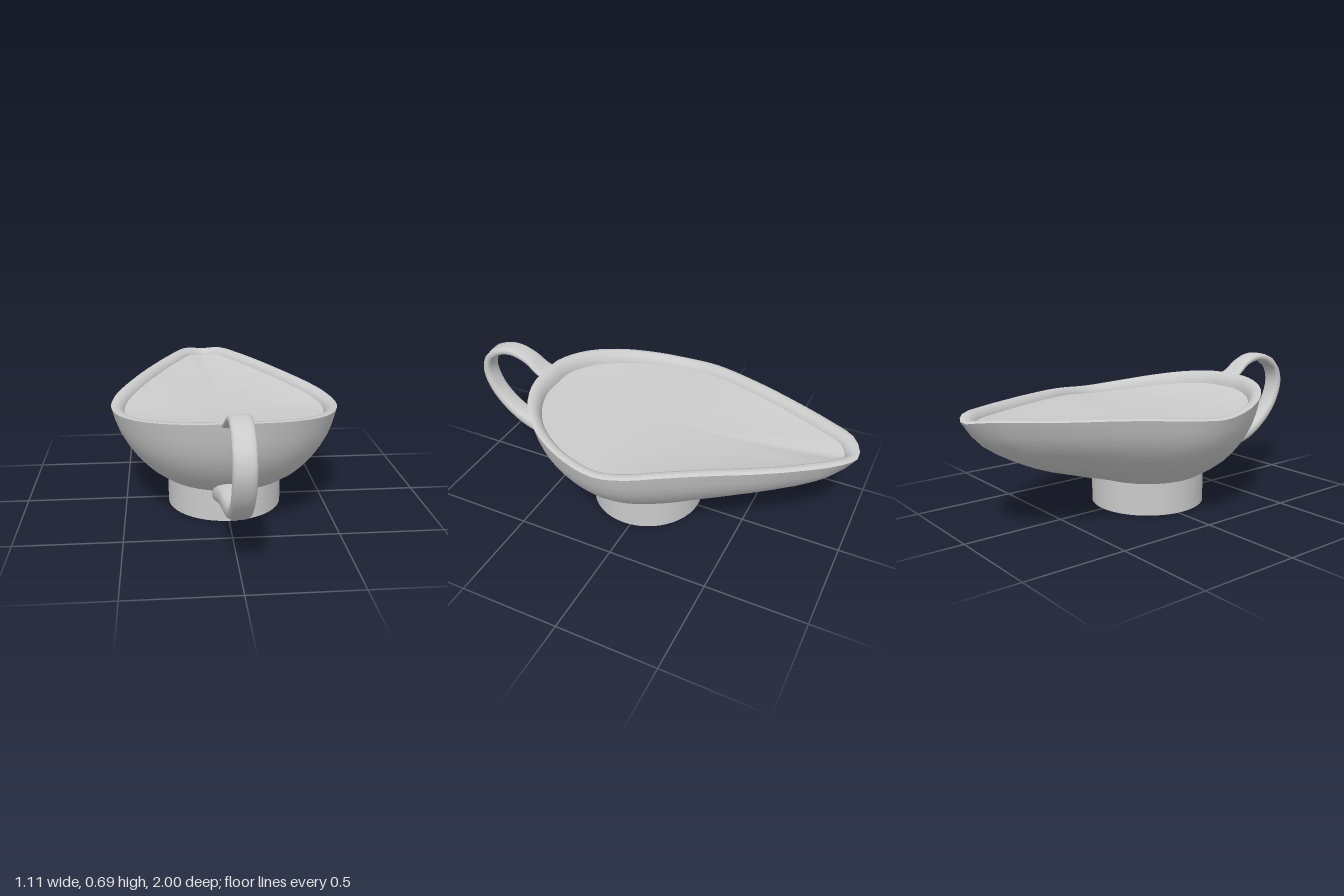
import * as THREE from 'three';

const material = new THREE.MeshStandardMaterial({ color: 0xcccccc, side: THREE.DoubleSide });
const SIDES = 80;
const CENTER = new THREE.Vector3(0, 0, 0.035);
const FOOT_R = 0.285;
const FOOT_H = 0.16;

// Bearing of a point around the foot: 0 towards the handle
const bearing = (p) => Math.atan2(p.x - CENTER.x, p.z - CENTER.z);

// Skin a list of closed rings (equal point counts) with smooth normals
function loft(rings, name) {
  const n = rings[0].length;
  const index = [];
  for (let j = 0; j < rings.length - 1; j++) {
    for (let i = 0; i < n; i++) {
      const a = j * n + i, b = j * n + (i + 1) % n;
      index.push(a, b, a + n, b, b + n, a + n);
    }
  }
  const geometry = new THREE.BufferGeometry().setFromPoints(rings.flat());
  geometry.setIndex(index);
  geometry.computeVertexNormals();
  const mesh = new THREE.Mesh(geometry, material);
  mesh.name = name;
  return mesh;
}

// Teardrop lip: rounded at the handle, drawn out to a pouring spout
function rimPoints() {
  const pts = [
    [0, 0.593, 0.622], [0.14, 0.59, 0.612], [0.3, 0.573, 0.54], [0.43, 0.548, 0.41],
    [0.52, 0.522, 0.23], [0.557, 0.508, 0.035], [0.524, 0.52, -0.116], [0.466, 0.533, -0.24],
    [0.37, 0.545, -0.43], [0.264, 0.553, -0.64], [0.17, 0.56, -0.8], [0.058, 0.565, -0.95],
    [-0.05, 0.55, -1], [-0.16, 0.565, -0.95], [-0.254, 0.56, -0.8], [-0.333, 0.553, -0.64],
    [-0.423, 0.545, -0.43], [-0.513, 0.528, -0.2], [-0.545, 0.518, -0.09], [-0.557, 0.508, 0.035],
    [-0.515, 0.522, 0.23], [-0.42, 0.548, 0.41], [-0.29, 0.573, 0.54], [-0.13, 0.59, 0.614],
  ].map((p) => new THREE.Vector3(...p));
  return new THREE.CatmullRomCurve3(pts, true).getSpacedPoints(SIDES).slice(0, SIDES);
}

// Move a ring inwards in plan and shift its height, with a further shift towards the handle
function inset(ring, distance, dy, handleDy) {
  const n = ring.length;
  return ring.map((p, i) => {
    const t = ring[(i + 1) % n].clone().sub(ring[(i + n - 1) % n]).setY(0).normalize();
    const y = p.y + dy + handleDy * Math.max(0, Math.cos(bearing(p)));
    return new THREE.Vector3(p.x + t.z * distance, y, p.z - t.x * distance);
  });
}

function createBowl() {
  const bowl = new THREE.Group();
  bowl.name = 'bowl';
  const rim = rimPoints();

  // Outer wall: [outward fraction, height fraction] from foot to lip, fuller below the handle
  const wall = [[0, 0], [0.22, 0.12], [0.43, 0.25], [0.56, 0.35], [0.68, 0.46],
    [0.78, 0.57], [0.87, 0.69], [0.94, 0.83], [1, 1]];
  bowl.add(loft(wall.map(([t, h]) => rim.map((p) => {
    const a = bearing(p);
    const height = Math.pow(h, 1 + 0.3 * Math.max(0, Math.cos(a)));
    return new THREE.Vector3(
      THREE.MathUtils.lerp(FOOT_R * Math.sin(a), p.x, t),
      THREE.MathUtils.lerp(FOOT_H, p.y, height),
      THREE.MathUtils.lerp(CENTER.z + FOOT_R * Math.cos(a), p.z, t));
  })), 'outerWall'));

  // Rounded lip with its crest inside the outer edge
  const inner = inset(rim, 0.064, -0.028, -0.035);
  bowl.add(loft([rim, inset(rim, 0.012, 0.006, -0.004), inset(rim, 0.03, 0.008, -0.008),
    inset(rim, 0.048, -0.002, -0.015), inset(rim, 0.06, -0.016, -0.025), inner], 'lip'));

  // Shallow dished inside: [outward fraction, height fraction] from lip to floor
  const floor = 0.475;
  const dish = [[1, 1], [0.96, 0.88], [0.9, 0.73], [0.8, 0.52], [0.66, 0.32],
    [0.5, 0.16], [0.3, 0.05], [0.12, 0.01], [0, 0]];
  bowl.add(loft(dish.map(([s, h]) => inner.map((p) => new THREE.Vector3(
    CENTER.x + (p.x - CENTER.x) * s,
    floor + (p.y - floor) * h,
    CENTER.z + (p.z - CENTER.z) * s))), 'innerWall'));
  return bowl;
}

function createHandle() {
  // Stations along the loop: z, y, half width, half thickness
  const stations = [
    [0.585, 0.575, 0.068, 0.01], [0.64, 0.595, 0.06, 0.013], [0.71, 0.643, 0.052, 0.018],
    [0.8, 0.668, 0.05, 0.021], [0.89, 0.648, 0.05, 0.022], [0.957, 0.59, 0.05, 0.022],
    [0.977, 0.51, 0.05, 0.023], [0.945, 0.41, 0.05, 0.024], [0.87, 0.32, 0.05, 0.027],
    [0.76, 0.25, 0.053, 0.032], [0.64, 0.22, 0.058, 0.038], [0.53, 0.217, 0.07, 0.048],
    [0.44, 0.2, 0.085, 0.052], [0.37, 0.165, 0.085, 0.042], [0.3, 0.145, 0.075, 0.025],
  ];
  const path = new THREE.CatmullRomCurve3(stations.map(([z, y]) => new THREE.Vector3(0, y, z)));
  const size = new THREE.CatmullRomCurve3(stations.map(([, , w, t]) => new THREE.Vector3(w, t, 0)));
  const xAxis = new THREE.Vector3(1, 0, 0);
  const round = (v) => Math.sign(v) * Math.pow(Math.abs(v), 0.7);
  const steps = 56, sides = 16;
  const rings = [];
  const addRing = (u, scale) => {
    const c = path.getPoint(u), s = size.getPoint(u);
    const normal = path.getTangent(u).cross(xAxis).normalize();
    rings.push(Array.from({ length: sides }, (_, i) => {
      const b = (i / sides) * Math.PI * 2;
      return c.clone()
        .addScaledVector(xAxis, round(Math.cos(b)) * s.x * scale)
        .addScaledVector(normal, round(Math.sin(b)) * s.y * scale);
    }));
  };
  addRing(0, 0);
  for (let j = 0; j <= steps; j++) addRing(j / steps, 1);
  addRing(1, 0);
  return loft(rings, 'handle');
}

export function createModel() {
  const model = new THREE.Group();
  model.name = 'sauceBoat';

  const foot = new THREE.Mesh(
    new THREE.CylinderGeometry(FOOT_R, FOOT_R, FOOT_H, 48), material);
  foot.position.set(CENTER.x, FOOT_H / 2, CENTER.z);
  foot.name = 'foot';

  model.add(foot, createBowl(), createHandle());
  return model;
}
